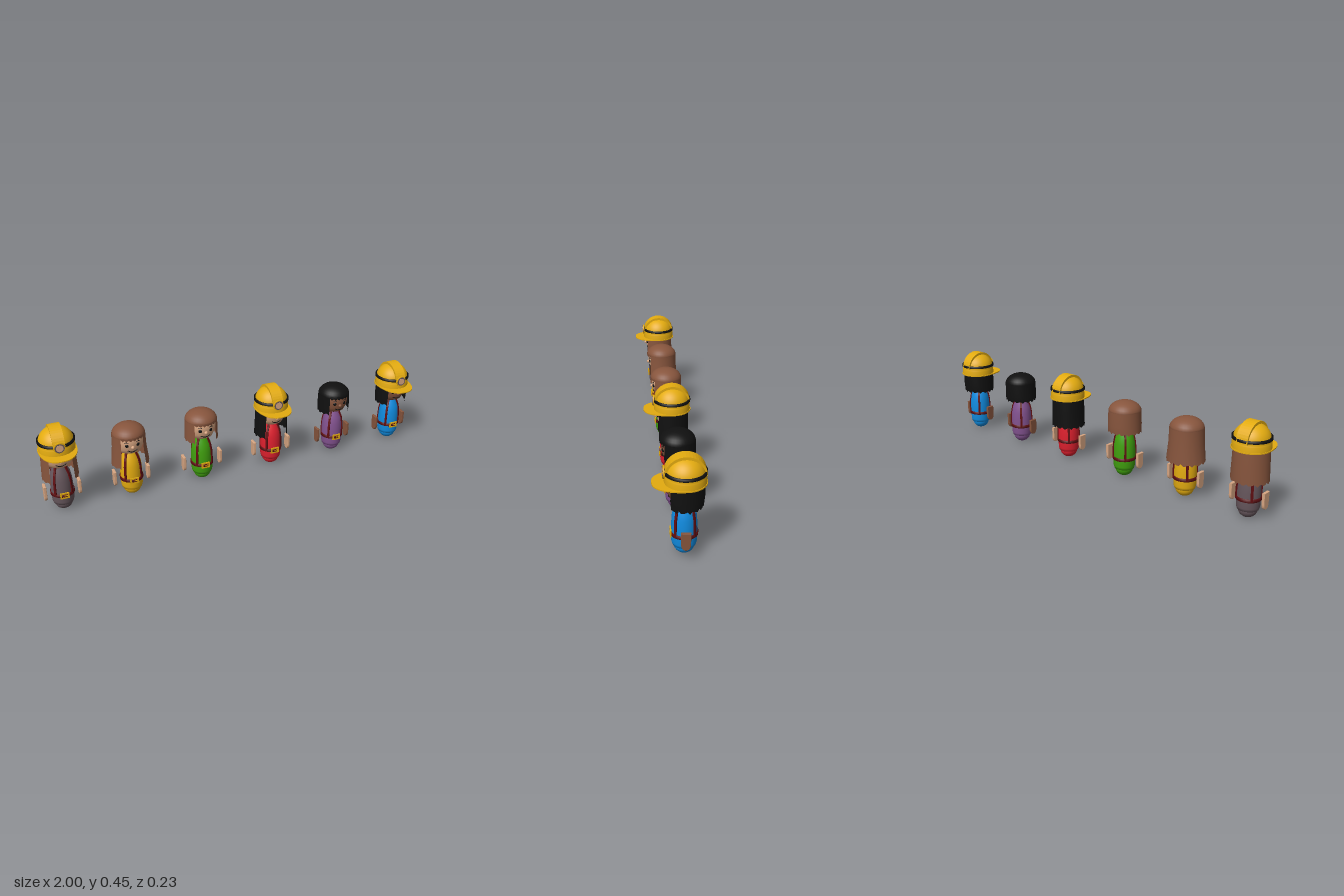
import * as THREE from 'three';

const mat = (name, color, side = THREE.FrontSide) => {
  const m = new THREE.MeshStandardMaterial({ color, side });
  m.name = name;
  return m;
};
const M = {
  yellow: mat('yellow', 0xe3ab10),
  skin: mat('lightSkin', 0xd8a682),
  brown: mat('brown', 0x87553d, THREE.DoubleSide),
  black: mat('black', 0x101010, THREE.DoubleSide),
  grey: mat('mauveGrey', 0x66565c),
  green: mat('green', 0x409f0e),
  red: mat('red', 0xde202e),
  purple: mat('purple', 0x82528f),
  blue: mat('blue', 0x108bdf),
  leather: mat('darkRed', 0x600e11),
};

const CZ = -0.02; // body axis
const vec = (pts) => pts.map(([x, y]) => new THREE.Vector2(x, y));

function add(parent, name, geo, material, x = 0, y = 0, z = 0) {
  const mesh = new THREE.Mesh(geo, material);
  mesh.name = name;
  mesh.position.set(x, y, z);
  parent.add(mesh);
  return mesh;
}

const lathe = (pts, seg = 32, start = 0, len = Math.PI * 2) =>
  new THREE.LatheGeometry(vec(pts), seg, start, len);

// Torso outline from hem to neck, shared by the tunic and the braces
const torso = [[0.053, 0.055], [0.054, 0.09], [0.054, 0.13], [0.052, 0.17],
  [0.046, 0.203], [0.036, 0.226], [0.028, 0.25]];

function dome(r, h, y0, n = 8) {
  return Array.from({ length: n + 1 }, (_, i) => {
    const a = (i / n) * Math.PI / 2;
    return [i === n ? 0 : r * Math.cos(a), y0 + h * Math.sin(a)];
  });
}

function buildBody(g, cloth, skin) {
  const base = dome(0.044, 0.04, 0).map(([r, y]) => [r, 0.04 - y]).reverse();
  add(g, 'lowerBody', lathe(base), cloth, 0, 0, CZ);
  add(g, 'tunic', lathe([[0.04, 0.038], [0.049, 0.041], ...torso]), cloth, 0, 0, CZ);
  add(g, 'belt', lathe([[0.05, 0.088], [0.058, 0.088], [0.058, 0.103], [0.05, 0.103]]), M.leather, 0, 0, CZ);

  // Braces follow the torso at the four diagonals
  const edge = torso.slice(1);
  const band = new THREE.Shape(vec([
    ...edge.map(([r, y]) => [r + 0.005, y]),
    ...edge.map(([r, y]) => [r - 0.004, y]).reverse()]));
  for (let i = 0; i < 4; i++) {
    const geo = new THREE.ExtrudeGeometry(band, { depth: 0.011, bevelEnabled: false });
    geo.translate(0, 0, -0.0055);
    add(g, 'brace', geo, M.leather, 0, 0, CZ).rotation.y = Math.PI / 4 + i * Math.PI / 2;
  }

  // Open buckle with a prong
  const frame = new THREE.Shape(vec([[-0.022, -0.015], [0.022, -0.015], [0.022, 0.015], [-0.022, 0.015]]));
  frame.holes.push(new THREE.Path(vec([[-0.014, -0.008], [-0.014, 0.008], [0.014, 0.008], [0.014, -0.008]])));
  add(g, 'buckle', new THREE.ExtrudeGeometry(frame, { depth: 0.006, bevelEnabled: false }), M.yellow, 0, 0.096, 0.033);
  add(g, 'bucklePin', new THREE.BoxGeometry(0.016, 0.004, 0.004), M.yellow, 0.006, 0.096, 0.038);
}

function buildArms(g, skin, reach) {
  const s = new THREE.Shape();
  s.moveTo(-0.019, 0.138);
  s.lineTo(-0.018, 0.085);
  s.quadraticCurveTo(-0.016, 0.062, 0, 0.062);
  s.quadraticCurveTo(0.016, 0.062, 0.018, 0.085);
  s.lineTo(0.019, 0.138);
  for (const side of [-1, 1]) {
    const geo = new THREE.ExtrudeGeometry(s, {
      depth: 0.008, bevelThickness: 0.003, bevelSize: 0.002, bevelSegments: 2 });
    geo.translate(0, 0, -0.004);
    geo.rotateY(Math.PI / 2);
    add(g, side > 0 ? 'leftArm' : 'rightArm', geo, skin, side * reach, 0, CZ);
  }
}

function buildHead(g, skin) {
  add(g, 'head', lathe([[0, 0.24], [0.04, 0.242], [0.057, 0.253], [0.067, 0.275], [0.072, 0.3],
    [0.073, 0.33], [0.06, 0.36], [0, 0.375]]), skin, 0, 0, CZ);
  add(g, 'nose', new THREE.SphereGeometry(0.009, 16, 12), skin, 0, 0.292, 0.053);
  // Flat features turned to follow the face
  for (const side of [-1, 1]) {
    const face = new THREE.Group();
    face.name = side > 0 ? 'leftEye' : 'rightEye';
    face.position.z = CZ;
    face.rotation.y = side * 0.4;
    g.add(face);
    const eye = add(face, 'pupil', new THREE.SphereGeometry(0.009, 16, 12), M.black, 0, 0.302, 0.071);
    eye.scale.z = 0.45;
    add(face, 'eyebrow', new THREE.TorusGeometry(0.013, 0.0018, 6, 12, 1.4), M.black, 0, 0.308, 0.073)
      .rotation.z = Math.PI / 2 - 0.7;
  }
  const smile = new THREE.CatmullRomCurve3([-1, -0.5, 0, 0.5, 1].map((t) =>
    new THREE.Vector3(t * 0.024, 0.265 + 0.009 * t * t, CZ + 0.0645 - 0.003 * t * t)));
  add(g, 'smile', new THREE.TubeGeometry(smile, 16, 0.0022, 6), M.black);
}

function buildHair(g, hair, bottom, flare) {
  add(g, 'hairCap', lathe([[0.076, 0.334], ...dome(0.081, 0.053, 0.336)]), hair, 0, 0, CZ);
  // Curtain open at the face, with a jagged lower edge
  const gap = 0.73;
  const rows = [[0.081 + flare, bottom], [0.083, 0.27], [0.081, 0.34]];
  const geo = lathe(rows, 42, gap, Math.PI * 2 - gap * 2);
  const p = geo.attributes.position;
  for (let i = 0; i < p.count; i += rows.length) {
    const k = i / rows.length;
    p.setY(i, bottom + 0.005 * Math.sin(k * 1.9) + 0.003 * Math.cos(k * 3.1));
    p.setZ(i, p.getZ(i) * 0.95);
  }
  geo.computeVertexNormals();
  add(g, 'hairCurtain', geo, hair, 0, 0, CZ);
  // Fringe over the forehead
  const fringe = lathe([[0.079, 0.332], [0.08, 0.345]], 12, -gap, gap * 2);
  const f = fringe.attributes.position;
  for (let i = 0; i < f.count; i += 2) f.setY(i, i % 4 ? 0.327 : 0.335);
  add(g, 'fringe', fringe, hair, 0, 0, CZ);
}

function buildHelmet(parent) {
  const g = new THREE.Group();
  g.name = 'helmet';
  g.position.z = -0.023;
  parent.add(g);
  add(g, 'shell', lathe([[0.087, 0.326], [0.086, 0.354], [0.083, 0.356], ...dome(0.083, 0.076, 0.365, 12)], 40), M.yellow);

  // Brim reaching forward into a visor
  const outline = Array.from({ length: 48 }, (_, i) => {
    const a = (i / 48) * Math.PI * 2, s = Math.sin(a), c = Math.cos(a);
    return s < 0 // shape y becomes -z, so negative is the front
      ? [0.09 * Math.sign(c) * Math.abs(c) ** 0.8, -0.137 * Math.abs(s) ** 0.9]
      : [0.09 * c, 0.09 * s];
  });
  const shape = new THREE.Shape(vec(outline));
  const hole = new THREE.Path();
  hole.absarc(0, 0, 0.08, 0, Math.PI * 2, true);
  shape.holes.push(hole);
  const brim = new THREE.ExtrudeGeometry(shape, { depth: 0.005, bevelEnabled: false, curveSegments: 24 });
  brim.rotateX(-Math.PI / 2);
  add(g, 'brim', brim, M.yellow, 0, 0.325, 0);

  // Raised ridge from front to back over the crown
  const arc = dome(0.086, 0.084, 0.365, 10);
  const top = [...arc, ...arc.slice(0, -1).reverse().map(([x, y]) => [-x, y])];
  const inner = top.map(([x, y]) => [x * 0.82, 0.355 + (y - 0.355) * 0.82]).reverse();
  const ridge = new THREE.ExtrudeGeometry(new THREE.Shape(vec([...top, ...inner])), {
    depth: 0.056, bevelEnabled: false });
  ridge.translate(0, 0, -0.028);
  ridge.rotateY(Math.PI / 2);
  add(g, 'ridge', ridge, M.yellow);

  add(g, 'band', lathe([[0.08, 0.37], [0.0885, 0.37], [0.0885, 0.382], [0.08, 0.382]], 40), M.black);

  // Headlamp
  const disc = (r, d) => new THREE.CylinderGeometry(r, r, d, 28).rotateX(Math.PI / 2);
  add(g, 'lampRim', disc(0.027, 0.006), M.yellow, 0, 0.373, 0.089);
  add(g, 'lampReflector', disc(0.023, 0.003), M.grey, 0, 0.373, 0.092);
  add(g, 'lampLens', disc(0.017, 0.003), M.skin, 0, 0.373, 0.093);
}

export function createModel() {
  const root = new THREE.Group();
  root.name = 'figureRow';
  // x, tunic, skin, hair, hair bottom, hair flare, arm reach, helmet
  const figures = [
    [-0.911, M.grey, M.skin, M.brown, 0.18, 0.006, 0.083, true],
    [-0.569, M.yellow, M.skin, M.brown, 0.18, 0.012, 0.085, false],
    [-0.198, M.green, M.skin, M.brown, 0.235, 0.003, 0.097, false],
    [0.187, M.red, M.skin, M.black, 0.18, 0.006, 0.097, true],
    [0.551, M.purple, M.brown, M.black, 0.243, 0.001, 0.089, false],
    [0.908, M.blue, M.brown, M.black, 0.228, 0.001, 0.085, true],
  ];
  figures.forEach(([x, cloth, skin, hair, bottom, flare, reach, helmet], i) => {
    const g = new THREE.Group();
    g.name = 'figure' + (i + 1);
    g.position.x = x;
    root.add(g);
    buildBody(g, cloth, skin);
    buildArms(g, skin, reach);
    buildHead(g, skin);
    buildHair(g, hair, bottom, flare);
    if (helmet) buildHelmet(g);
  });
  return root;
}
